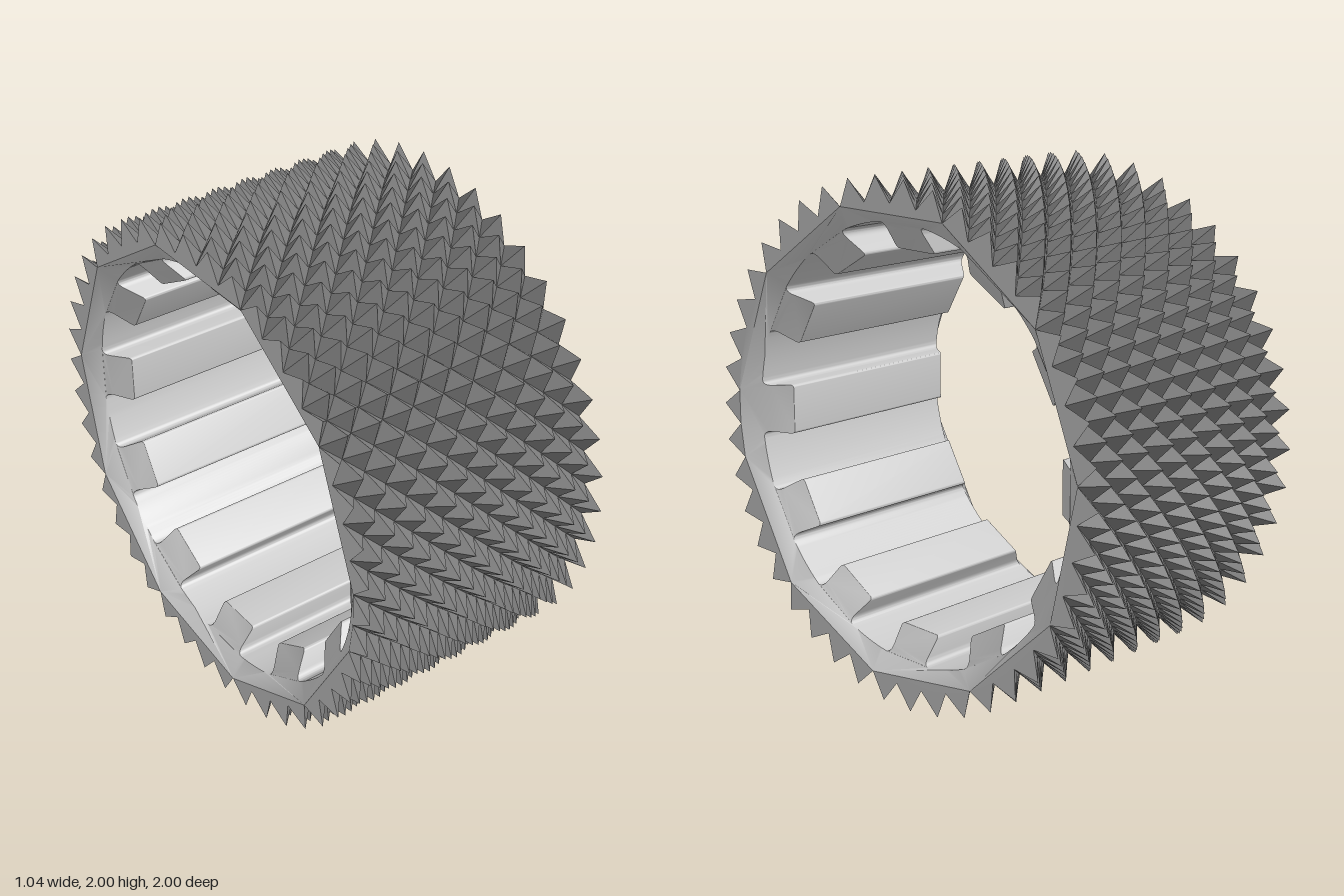
import * as THREE from 'three';
import { toCreasedNormals } from 'three/addons/utils/BufferGeometryUtils.js';

const HALF = 0.522;            // half width of the ring along x
const R_PEAK = 0.998, R_VALLEY = 0.905;
const AROUND = 84, ACROSS = 16; // staggered stud lattice
const TEETH = 12, R_FLOOR = 0.83, R_TIP = 0.72;
const DISH = 0.7;              // slope of the dished end faces

// Inner outline: twelve flat teeth with rounded corners between arc floors
function splineHole() {
  const hole = new THREE.Path();
  const rootAngle = Math.atan2(0.125, 0.82);
  for (let k = 0; k < TEETH; k++) {
    const a = (k / TEETH) * Math.PI * 2, c = Math.cos(a), s = Math.sin(a);
    const at = (u, v) => [u * c - v * s, u * s + v * c];
    const rootU = R_FLOOR * Math.cos(rootAngle), rootV = R_FLOOR * Math.sin(rootAngle);
    if (k === 0) hole.moveTo(...at(rootU, -rootV));
    hole.quadraticCurveTo(...at(0.828, -0.093), ...at(0.795, -0.094));
    hole.lineTo(...at(0.734, -0.099));
    hole.quadraticCurveTo(...at(R_TIP, -0.1), ...at(R_TIP, -0.086));
    hole.lineTo(...at(R_TIP, 0.086));
    hole.quadraticCurveTo(...at(R_TIP, 0.1), ...at(0.734, 0.099));
    hole.lineTo(...at(0.795, 0.094));
    hole.quadraticCurveTo(...at(0.828, 0.093), ...at(rootU, rootV));
    hole.absarc(0, 0, R_FLOOR, a + rootAngle, a + (Math.PI * 2) / TEETH - rootAngle, false);
  }
  return hole;
}

// Ring body whose rim corners meet the stud valleys; end faces sink towards the hole
function ringGeometry() {
  const rim = [];
  for (let j = 1; j < AROUND; j += 2) {
    const t = (j / AROUND) * Math.PI * 2;
    rim.push(new THREE.Vector2(R_VALLEY * Math.cos(t), R_VALLEY * Math.sin(t)));
  }
  const shape = new THREE.Shape(rim);
  shape.holes.push(splineHole());
  const geo = new THREE.ExtrudeGeometry(shape, { depth: HALF * 2, bevelEnabled: false, curveSegments: 8 });
  geo.translate(0, 0, -HALF);
  geo.rotateY(Math.PI / 2);
  const p = geo.attributes.position;
  for (let i = 0; i < p.count; i++) {
    const depth = DISH * (R_VALLEY - Math.hypot(p.getY(i), p.getZ(i)));
    p.setX(i, Math.sign(p.getX(i)) * (HALF - depth));
  }
  return toCreasedNormals(geo, 0.6);
}

// Lattice point: alternates between stud peak and valley
function lattice(i, j) {
  const r = (i + j) % 2 === 0 ? R_PEAK : R_VALLEY;
  const t = (j / AROUND) * Math.PI * 2;
  return [-HALF + (i / ACROSS) * HALF * 2, r * Math.sin(t), -r * Math.cos(t)];
}

function fromTriangles(pos) {
  const geo = new THREE.BufferGeometry();
  geo.setAttribute('position', new THREE.Float32BufferAttribute(pos, 3));
  geo.computeVertexNormals();
  return geo;
}

// Pyramid studs, every cell split along its valley line
function studGeometry() {
  const pos = [];
  for (let j = 0; j < AROUND; j++) {
    for (let i = 0; i < ACROSS; i++) {
      const a = lattice(i, j), b = lattice(i + 1, j), c = lattice(i + 1, j + 1), d = lattice(i, j + 1);
      if ((i + j) % 2 === 0) pos.push(...a, ...d, ...b, ...b, ...d, ...c);
      else pos.push(...a, ...d, ...c, ...a, ...c, ...b);
    }
  }
  return fromTriangles(pos);
}

// Flat faces of the halved studs at both ends
function studEndGeometry() {
  const pos = [];
  for (let j = 0; j < AROUND; j += 2) {
    const prev = j + AROUND - 1;
    pos.push(...lattice(0, j), ...lattice(0, prev), ...lattice(0, j + 1));
    pos.push(...lattice(ACROSS, j), ...lattice(ACROSS, j + 1), ...lattice(ACROSS, prev));
  }
  return fromTriangles(pos);
}

export function createModel() {
  const group = new THREE.Group();
  group.name = 'studdedTyre';

  const add = (name, geometry, color, flatShading) => {
    const mesh = new THREE.Mesh(geometry, new THREE.MeshStandardMaterial({ color, flatShading }));
    mesh.name = name;
    mesh.position.y = 1;
    group.add(mesh);
  };
  add('splinedRing', ringGeometry(), 0xcccccc, false);
  add('pyramidTread', studGeometry(), 0x808080, true);
  add('treadEnds', studEndGeometry(), 0xcccccc, true);
  return group;
}
